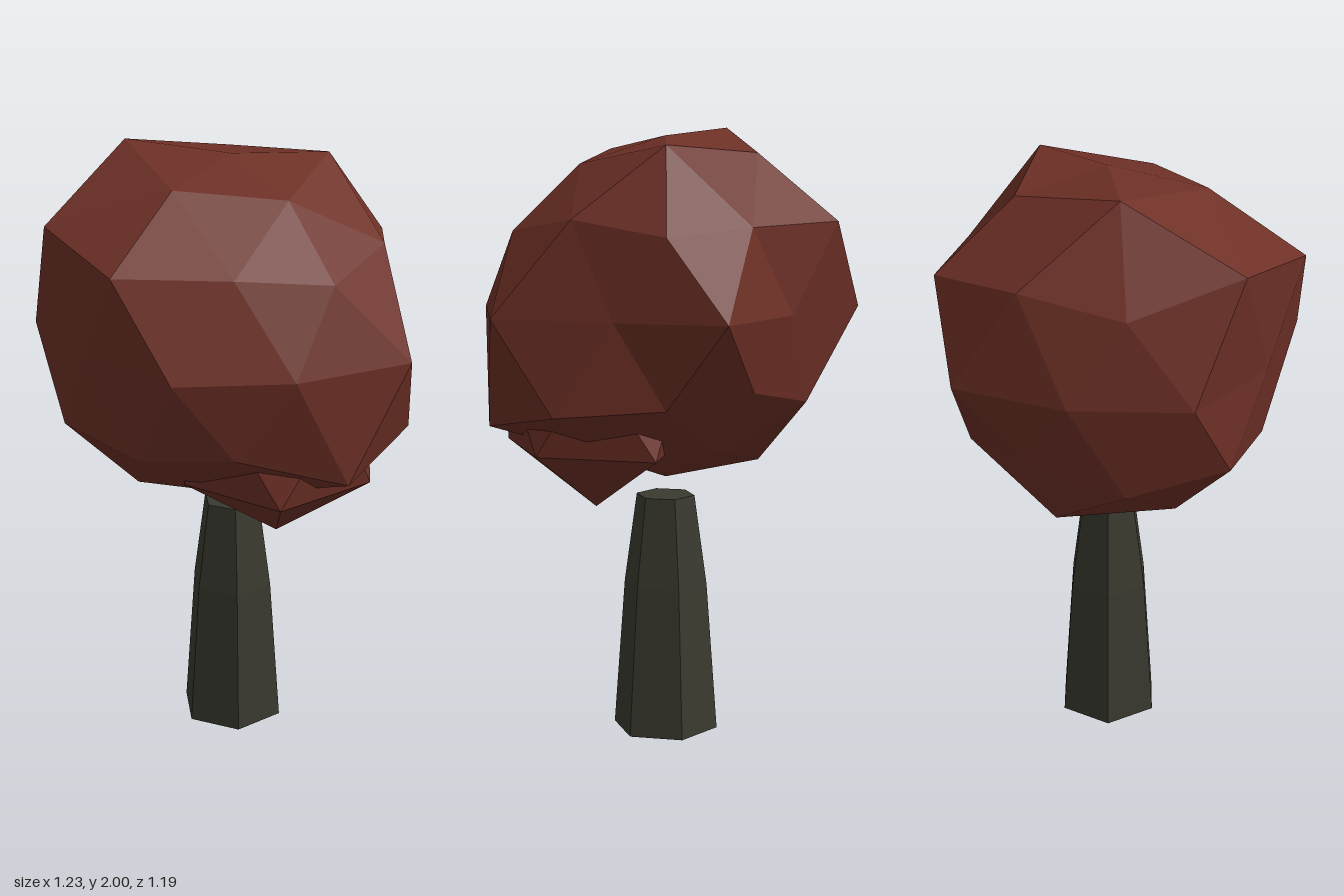
import * as THREE from 'three';
import { ConvexGeometry } from 'three/addons/geometries/ConvexGeometry.js';

// Lumpy icosphere: each ring is [height on unit sphere, start angle, radii of its points]
function lumpyBall(rings) {
  const dirs = [], radii = [];
  for (const [y, start, rs] of rings) {
    const h = Math.sqrt(1 - y * y);
    rs.forEach((r, i) => {
      const a = THREE.MathUtils.degToRad(start + i * 360 / rs.length);
      dirs.push(new THREE.Vector3(h * Math.cos(a), y, h * Math.sin(a)));
      radii.push(r);
    });
  }
  const geo = new ConvexGeometry(dirs);
  const pos = geo.attributes.position, v = new THREE.Vector3();
  for (let i = 0; i < pos.count; i++) {
    v.fromBufferAttribute(pos, i);
    let best = 0;
    dirs.forEach((d, k) => { if (d.dot(v) > dirs[best].dot(v)) best = k; });
    v.copy(dirs[best]).multiplyScalar(radii[best]);
    pos.setXYZ(i, v.x, v.y, v.z);
  }
  geo.computeVertexNormals();
  return geo;
}

export function createModel() {
  const group = new THREE.Group();
  const foliage = new THREE.MeshStandardMaterial({ name: 'rustFoliage', color: 0x6e3026, flatShading: true });
  const bark = new THREE.MeshStandardMaterial({ name: 'darkBark', color: 0x3a3a30, flatShading: true, side: THREE.DoubleSide });

  const add = (name, geo, mat, x, y, z) => {
    const mesh = new THREE.Mesh(geo, mat);
    mesh.name = name;
    mesh.position.set(x, y, z);
    group.add(mesh);
  };

  // Six-sided tapering trunk, open underneath
  const profile = [[0.177, 0], [0.14, 0.5], [0.098, 0.8], [0, 0.8]].map(([r, y]) => new THREE.Vector2(r, y));
  const trunk = new THREE.LatheGeometry(profile, 6).toNonIndexed();
  trunk.computeVertexNormals();
  add('trunk', trunk, bark, -0.02, 0, 0.01);

  // Main crown
  add('crown', lumpyBall([
    [1, 0, [0.55]],
    [0.8507, 0, [0.545, 0.59, 0.67, 0.585, 0.62]],
    [0.5257, 36, [0.545, 0.71, 0.62, 0.53, 0.58]],
    [0.4472, 0, [0.57, 0.69, 0.6, 0.64, 0.577]],
    [0, 18, [0.588, 0.61, 0.565, 0.63, 0.578, 0.63, 0.49, 0.6, 0.52, 0.668]],
    [-0.4472, 36, [0.59, 0.63, 0.555, 0.52, 0.66]],
    [-0.5257, 0, [0.7, 0.595, 0.615, 0.56, 0.53]],
    [-0.8507, 36, [0.56, 0.615, 0.625, 0.53, 0.55]],
    [-1, 0, [0.57]],
  ]), foliage, -0.02, 1.43, 0.01);

  // Smaller clump poking out below the crown
  add('lowerClump', lumpyBall([
    [1, 0, [0.34]],
    [0.4472, 0, [0.34, 0.34, 0.34, 0.34, 0.34]],
    [-0.4472, 36, [0.345, 0.35, 0.34, 0.375, 0.345]],
    [-1, 0, [0.365]],
  ]), foliage, 0.22, 1.14, 0.01);

  return group;
}
